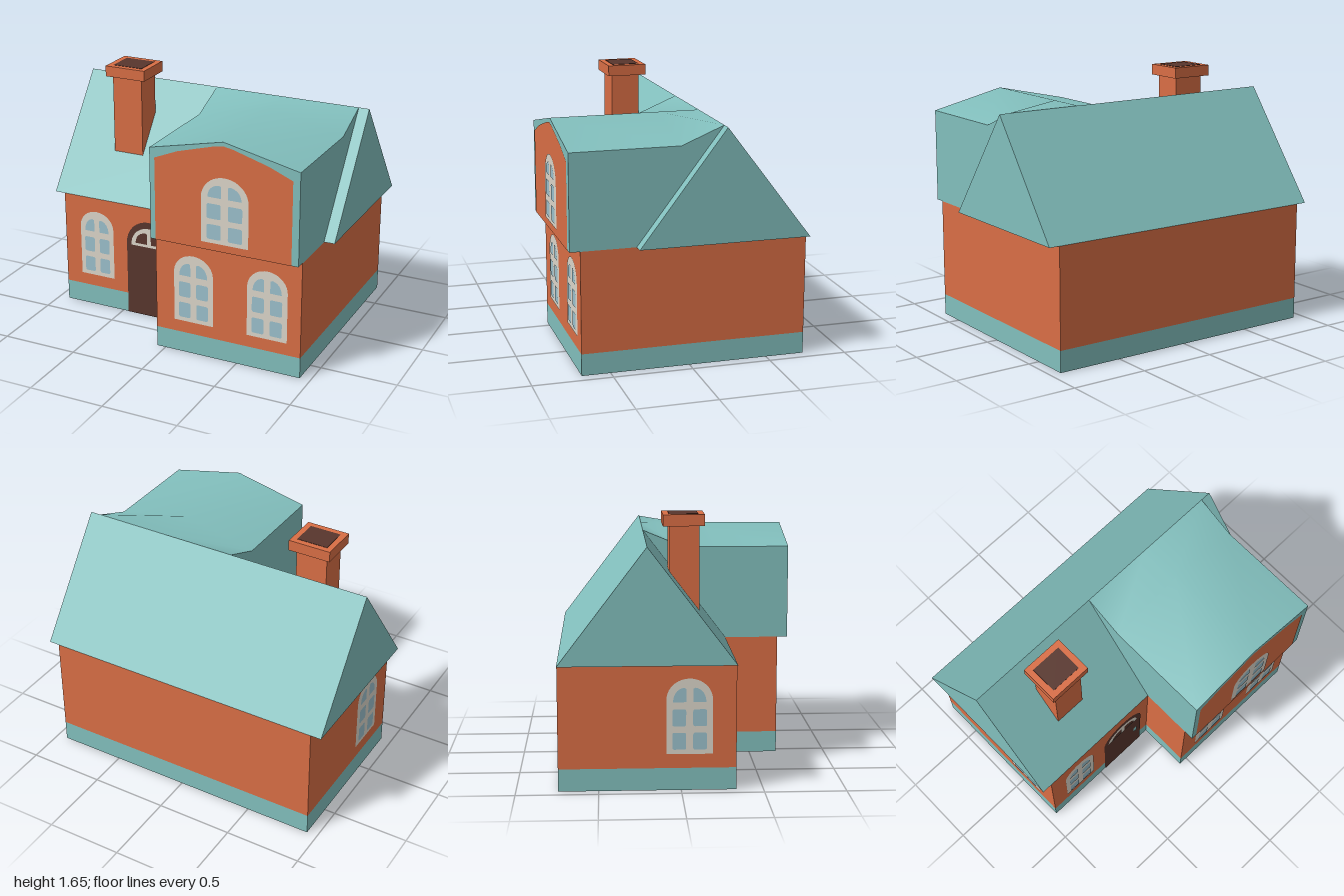
import * as THREE from 'three';

const mat = (name, color) => {
  const m = new THREE.MeshStandardMaterial({ color, side: THREE.DoubleSide });
  m.name = name;
  return m;
};

export function createModel() {
  const house = new THREE.Group();
  house.name = 'house';
  const brick = mat('orange brick', 0xd96e45);
  const teal = mat('teal roof', 0x82bfbd);
  const cream = mat('cream frame', 0xdcd6ca);
  const glass = mat('blue glass', 0x9bc0cc);
  const brown = mat('dark brown', 0x58362d);

  const add = (name, geometry, material, parent = house) => {
    const m = new THREE.Mesh(geometry, material);
    m.name = name;
    parent.add(m);
    return m;
  };
  // Surface from points and triangle indices; corners shared so normals stay smooth
  const surface = (points, index) => {
    const g = new THREE.BufferGeometry();
    g.setAttribute('position', new THREE.Float32BufferAttribute(points.flat(), 3));
    g.setIndex(index);
    g.computeVertexNormals();
    return g;
  };
  const outline = (pts) => new THREE.Shape(pts.map(([x, y]) => new THREE.Vector2(x, y)));

  // Walls: a thin open shell following the L-shaped plan, with a teal plinth
  const top = 0.78, plinth = 0.138;
  const plan = [[0.93, -0.745], [0.93, 0.68], [-0.06, 0.68], [-0.06, 0.335], [-0.93, 0.335], [-0.93, -0.745]];
  plan.forEach(([x0, z0], i) => {
    const [x1, z1] = plan[(i + 1) % plan.length];
    const strip = (name, y0, y1, material) => add(name, surface(
      [[x1, y0, z1], [x0, y0, z0], [x0, y1, z0], [x1, y1, z1]], [0, 1, 2, 0, 2, 3]), material);
    strip('plinth', 0, plinth, teal);
    strip('wall', plinth, top, brick);
  });

  // Main roof: triangular prism along x
  const ridgeY = 1.49, ridgeZ = -0.205;
  const prism = new THREE.ExtrudeGeometry(
    outline([[-0.745, top], [0.335, top], [ridgeZ, ridgeY]]), { depth: 2, bevelEnabled: false });
  add('mainRoof', prism.rotateY(-Math.PI / 2).translate(1, 0, 0), teal);

  // Wing roof: upright cheeks, front panel, soffit and a gently peaked top
  const L = -0.06, R = 0.93, C = 0.435, F = 0.745, eave = 1.38, bend = 0.06;
  const wing = new THREE.Group();
  wing.name = 'wingRoof';
  house.add(wing);
  for (const x of [L, R]) {
    const cheek = new THREE.ShapeGeometry(outline(
      [[0.335, top], [F, top], [F, eave], [bend, eave], [ridgeZ, ridgeY]]));
    add('roofCheek', cheek.rotateY(-Math.PI / 2).translate(x, 0, 0), teal, wing);
  }
  add('gableFront', new THREE.ShapeGeometry(outline(
    [[L, top], [R, top], [R, eave], [C, ridgeY], [L, eave]])).translate(0, 0, F), teal, wing);
  add('soffit', surface([[L, top, 0.335], [R, top, 0.335], [R, top, F], [L, top, F]],
    [0, 1, 2, 0, 2, 3]), teal, wing);
  add('wingRoofTop', surface([
    [L, eave, F], [C, ridgeY, F], [R, eave, F],
    [L, eave, bend], [C, ridgeY, bend], [R, eave, bend],
    [L, ridgeY, ridgeZ], [C, ridgeY, ridgeZ], [R, ridgeY, ridgeZ]],
  [0, 1, 4, 0, 4, 3, 1, 2, 5, 1, 5, 4, 3, 4, 7, 3, 7, 6, 4, 5, 8, 4, 8, 7]), teal, wing);

  // Painted plates, laid on both sides of a thin wall
  const plate = (parent, name, shape, material, layer) => {
    for (const side of [1, -1]) {
      add(name, new THREE.ShapeGeometry(shape, 10), material, parent).position.z = side * layer * 0.0025;
    }
  };
  const panel = (name, x, y, z, turn = 0) => {
    const g = new THREE.Group();
    g.name = name;
    g.position.set(x, y, z);
    g.rotation.y = turn;
    house.add(g);
    return g;
  };
  // Arched outline standing on y = 0
  const arch = (w, h, rise) => {
    const s = new THREE.Shape();
    s.moveTo(-w / 2, 0);
    s.lineTo(w / 2, 0);
    s.lineTo(w / 2, h - rise);
    s.absellipse(0, h - rise, w / 2, rise, 0, Math.PI, false);
    s.closePath();
    return s;
  };
  // Rounded pane
  const pane = (x, y, w, h) => {
    const r = 0.014, s = new THREE.Shape();
    s.moveTo(x + r, y);
    s.lineTo(x + w - r, y);
    s.quadraticCurveTo(x + w, y, x + w, y + r);
    s.lineTo(x + w, y + h - r);
    s.quadraticCurveTo(x + w, y + h, x + w - r, y + h);
    s.lineTo(x + r, y + h);
    s.quadraticCurveTo(x, y + h, x, y + h - r);
    s.lineTo(x, y + r);
    s.quadraticCurveTo(x, y, x + r, y);
    return s;
  };
  // Quarter-arched pane; side is +1 or -1
  const quarter = (side, inner, outer, y, h) => {
    const s = new THREE.Shape();
    s.moveTo(side * inner, y);
    s.lineTo(side * outer, y);
    s.quadraticCurveTo(side * outer * 0.96, y + h * 0.85, side * (inner + 0.015), y + h);
    s.lineTo(side * inner, y + h * 0.93);
    s.closePath();
    return s;
  };

  // Front panel of the wing's upper floor
  const upper = panel('upperWall', 0, 0, F);
  plate(upper, 'upperWall', outline([[-0.025, top], [0.885, top], [0.885, 1.32], [0.73, 1.385],
    [0.5, 1.453], [0.435, 1.465], [0.37, 1.453], [0.13, 1.385], [-0.025, 1.32]]), brick, 1);

  // Windows: x, y, z, width, height, turn
  [
    [-0.688, 0.22, 0.335, 0.25, 0.465, 0],
    [0.203, 0.22, 0.68, 0.27, 0.46, 0],
    [0.705, 0.22, 0.68, 0.27, 0.46, 0],
    [0.447, 0.83, F + 0.0025, 0.315, 0.435, 0],
    [-0.93, 0.225, 0.05, 0.28, 0.465, -Math.PI / 2],
  ].forEach(([x, y, z, w, h, turn]) => {
    const win = panel('window', x, y, z, turn);
    plate(win, 'windowFrame', arch(w, h, w * 0.46), cream, 1);
    for (const side of [-1, 1]) {
      for (const row of [0.06, 0.37]) {
        plate(win, 'windowPane', pane(side * w * 0.225 - w * 0.15, h * row, w * 0.3, h * 0.225), glass, 2);
      }
      plate(win, 'windowPane', quarter(side, w * 0.075, w * 0.36, h * 0.69, h * 0.19), glass, 2);
    }
  });

  // Front door with fanlight and handle
  const door = panel('frontDoor', -0.293, 0, 0.335);
  plate(door, 'doorLeaf', arch(0.335, 0.68, 0.1675), brown, 1);
  const fan = arch(0.264, 0.134, 0.125);
  plate(door, 'fanlight', new THREE.Shape(fan.getPoints(12).map((p) => p.add(new THREE.Vector2(0, 0.502)))), cream, 2);
  for (const side of [-1, 1]) {
    plate(door, 'fanlightPane', quarter(side, 0.014, 0.1, 0.522, 0.08), brown, 3);
  }
  plate(door, 'doorHandle', pane(0.104, 0.263, 0.028, 0.082), teal, 2);

  // Chimney with cap and dark flue
  const box = (name, x, y, z, w, h, d, m) =>
    add(name, new THREE.BoxGeometry(w, h, d), m).position.set(x, y, z);
  box('chimneyShaft', -0.55, 1.3, 0.032, 0.21, 0.56, 0.186, brick);
  box('chimneyCap', -0.55, 1.613, 0.028, 0.282, 0.07, 0.256, brick);
  box('chimneyFlue', -0.55, 1.648, 0.028, 0.205, 0.004, 0.18, brown);
  return house;
}
